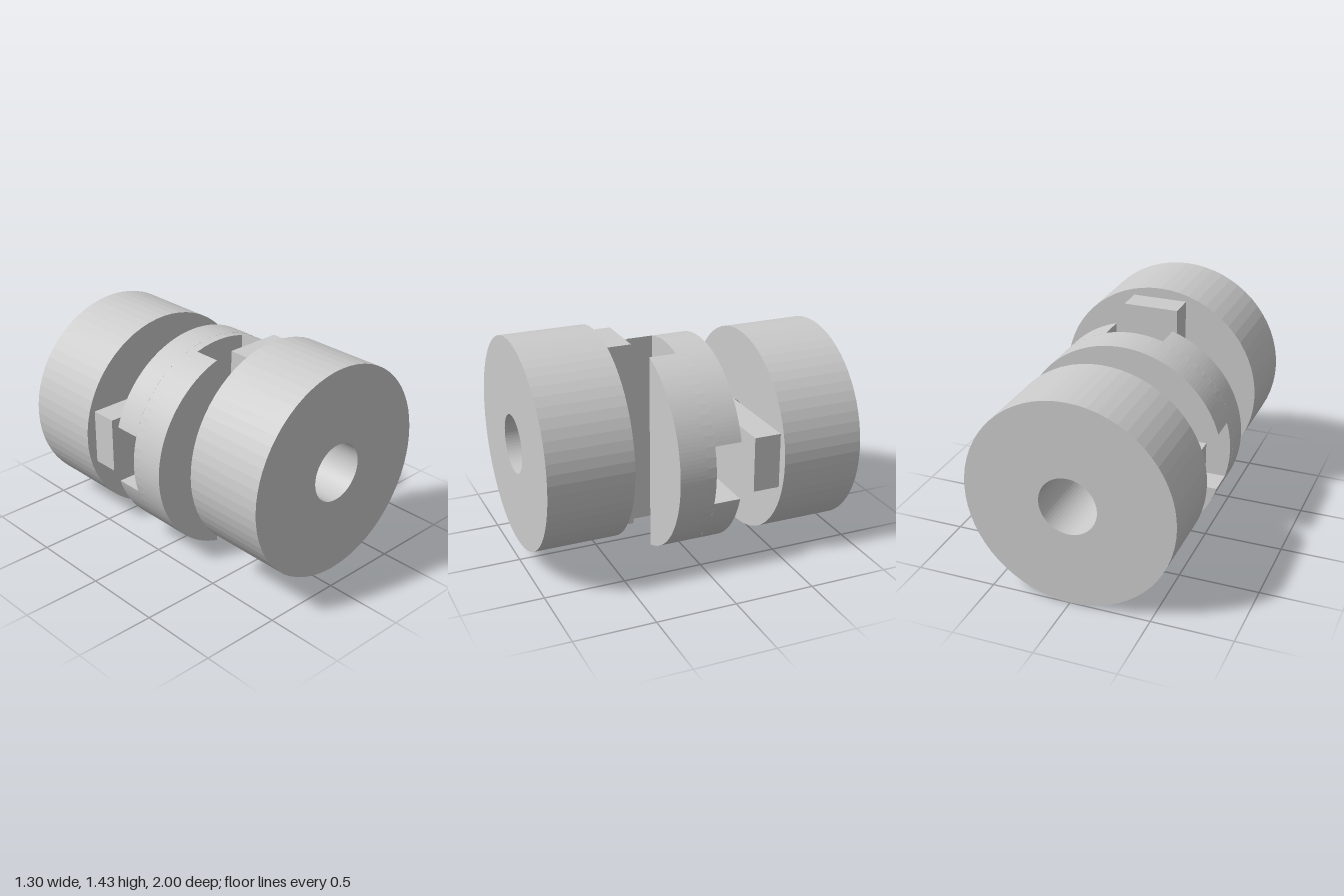
import * as THREE from 'three';

const R = 0.65, BORE = 0.18, DISC_Y = 0.65, FRONT_Y = 0.78;
const SLOT = 0.185; // half width of the grooves
const material = new THREE.MeshStandardMaterial({ color: 0xcccccc });

function addMesh(parent, name, geometry, y, z) {
  const mesh = new THREE.Mesh(geometry, material);
  mesh.name = name;
  mesh.position.set(0, y, z);
  parent.add(mesh);
  return mesh;
}

const extrude = (shape, depth) =>
  new THREE.ExtrudeGeometry(shape, { depth, bevelEnabled: false, curveSegments: 32 });

function circle(hole) {
  const shape = new THREE.Shape().absarc(0, 0, R, 0, Math.PI * 2, false);
  if (hole) shape.holes.push(new THREE.Path().absarc(0, 0, hole, 0, Math.PI * 2, true));
  return shape;
}

// Bored cylinder with a rectangular tongue on its inner face
function makeHub(name, y, side, tongueWidth, tongueHeight) {
  const hub = new THREE.Group();
  hub.name = name;
  addMesh(hub, name + 'Body', extrude(circle(BORE), 0.52), y, side > 0 ? 0.48 : -1);
  addMesh(hub, name + 'Tongue', new THREE.BoxGeometry(tongueWidth, tongueHeight, 0.17), y, side * 0.395);
  return hub;
}

// Middle disc: thin web with a pair of circle segments on each face,
// leaving two crossed grooves
function makeDisc() {
  const disc = new THREE.Group();
  disc.name = 'middleDisc';
  addMesh(disc, 'discWeb', extrude(circle(), 0.06), DISC_Y, -0.03);
  const a = Math.asin(SLOT / R);
  const segment = extrude(new THREE.Shape().absarc(0, 0, R, a, Math.PI - a, false), 0.17);
  for (const s of [1, -1]) {
    addMesh(disc, 'frontJaw', segment, DISC_Y, 0.03).rotation.z = s * Math.PI / 2;
    addMesh(disc, 'backJaw', segment, DISC_Y, -0.2).rotation.z = s > 0 ? 0 : Math.PI;
  }
  return disc;
}

export function createModel() {
  const model = new THREE.Group();
  model.name = 'shaftCoupling';
  model.add(
    makeHub('frontHub', FRONT_Y, 1, 0.35, 1.17),
    makeDisc(),
    makeHub('backHub', DISC_Y, -1, 1.17, 0.35),
  );
  return model;
}
